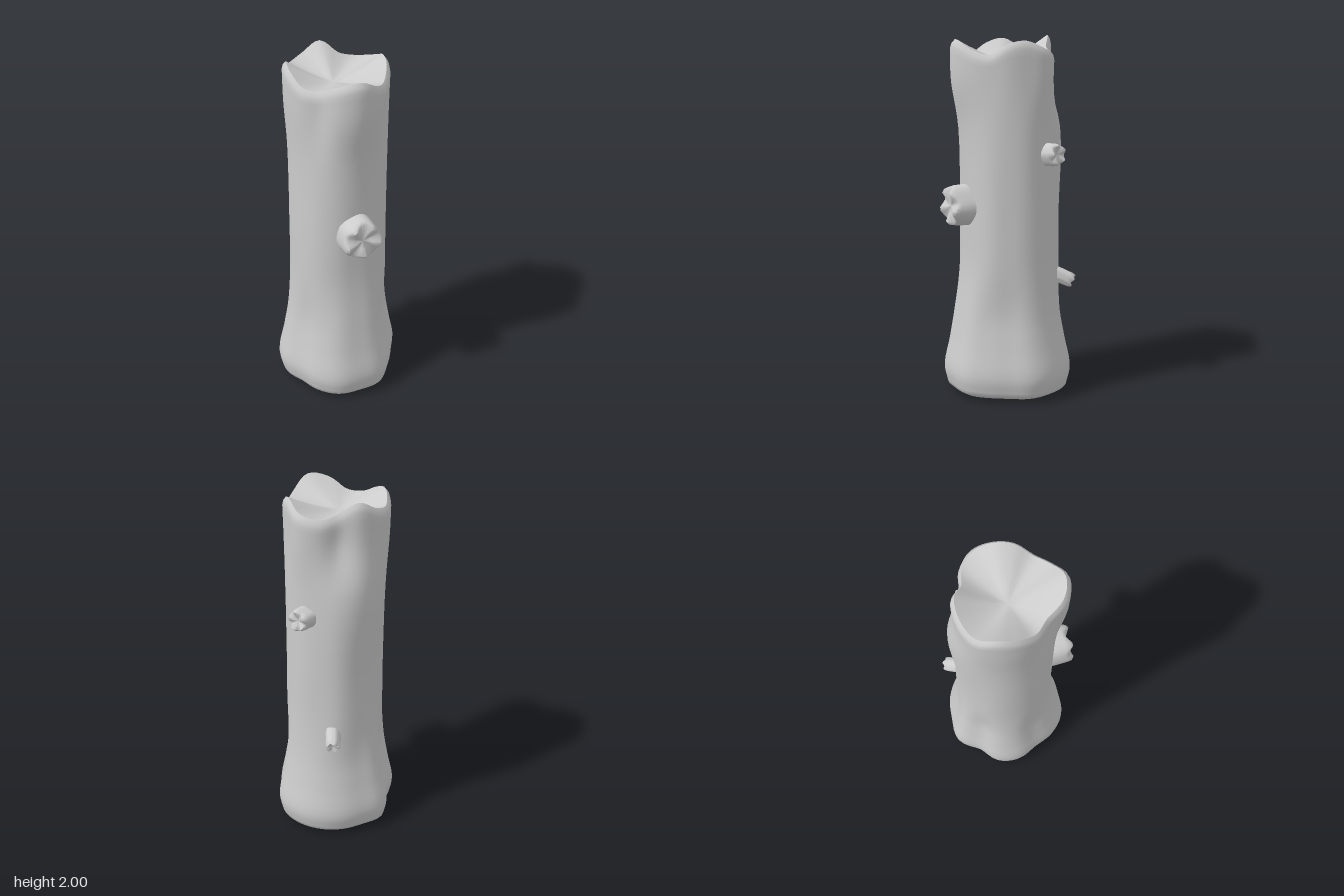
import * as THREE from 'three';
import { toCreasedNormals } from 'three/addons/utils/BufferGeometryUtils.js';

const TAU = Math.PI * 2;

// Closed smooth interpolation of values spaced evenly round a circle
function around(values, t) {
  const n = values.length, f = t * n, i = Math.floor(f), u = f - i;
  const [a, b, c, d] = [-1, 0, 1, 2].map(k => values[(i + k + n) % n]);
  return b + 0.5 * u * (c - a + u * (2 * a - 5 * b + 4 * c - d + u * (3 * (b - c) + d - a)));
}

// Skin over rings (bottom to top), closed by a centre point at each end
function loft(rings, bottom, top) {
  const n = rings[0].length, pos = [], idx = [];
  rings.forEach(r => r.forEach(p => pos.push(p.x, p.y, p.z)));
  const b = rings.length * n, last = b - n;
  pos.push(bottom.x, bottom.y, bottom.z, top.x, top.y, top.z);
  for (let i = 0; i < n; i++) {
    const j = (i + 1) % n;
    for (let k = 0; k < last; k += n) {
      idx.push(k + i, k + n + i, k + j, k + j, k + n + i, k + n + j);
    }
    idx.push(b, i, j, b + 1, last + j, last + i);
  }
  const geo = new THREE.BufferGeometry();
  geo.setAttribute('position', new THREE.Float32BufferAttribute(pos, 3));
  geo.setIndex(idx);
  return toCreasedNormals(geo, 1.0);
}

// Radii of the trunk every 22.5 degrees, from +x towards +z
const ROOT = [.357, .32, .325, .35, .342, .355, .34, .32, .35, .355, .325, .375, .357, .365, .37, .368];
const WAIST = [.278, .265, .27, .26, .25, .26, .265, .265, .27, .275, .275, .285, .285, .295, .285, .285];
const UPPER = [.275, .265, .265, .265, .27, .265, .255, .255, .265, .275, .285, .3, .31, .3, .285, .28];
const CROWN = [.275, .27, .27, .29, .317, .3, .25, .267, .28, .292, .3, .29, .275, .235, .275, .298];
// Heights of the broken rim at the same angles
const RIM = [1.975, 1.96, 1.905, 1.925, 1.98, 1.96, 1.91, 1.905, 1.955, 1.98, 1.93, 1.95, 2.0, 1.94, 1.915, 1.935];

function trunkGeometry() {
  const sides = 64, steps = 36, columns = [];
  const hollow = new THREE.Vector3(-0.03, 1.87, 0);
  for (let i = 0; i < sides; i++) {
    const t = i / sides, c = Math.cos(t * TAU), s = Math.sin(t * TAU);
    const at = (r, y) => new THREE.Vector3(r * c, y, r * s);
    const root = around(ROOT, t), waist = around(WAIST, t), crown = around(CROWN, t), rim = around(RIM, t);
    const side = new THREE.CatmullRomCurve3([
      at(root * 0.95, 0.035), at(root, 0.13), at(root * 0.91, 0.3), at(root * 0.83, 0.47),
      at(waist * 1.01, 0.72), at(waist, 1.0), at(around(UPPER, t), 1.5),
      at(crown * 0.99, 1.76), at(crown, rim - 0.045)]).getPoints(steps);
    // underside edge, then the lip and the dished top
    const lip = at(crown * 0.925, rim);
    const inner = [0.25, 0.5, 0.75].map(u => {
      const p = lip.clone().lerp(hollow, u);
      p.y = hollow.y + (rim - hollow.y) * (1 - u) ** 1.4;
      return p;
    });
    columns.push([at(root * 0.72, 0), at(root * 0.84, 0.012), ...side, at(crown * 0.98, rim - 0.02), lip, ...inner]);
  }
  const rings = columns[0].map((_, k) => columns.map(col => col[k]));
  return loft(rings, new THREE.Vector3(0, 0, 0), hollow);
}

// Short sawn-off branch with a wavy end, along +y
function stubGeometry(radius, length, phase) {
  const sides = 30, rings = [];
  const profile = [[1.02, 0, 0], [1, 0.4, 0], [0.97, 0.8, 0.3], [0.93, 0.94, 0.8], [0.8, 1, 1], [0.4, 0.95, 0.5]];
  for (const [r, y, wave] of profile) {
    rings.push(Array.from({ length: sides }, (_, i) => {
      const a = i / sides * TAU;
      const rr = radius * r * (1 + 0.04 * Math.sin(3 * a + phase) + 0.03 * Math.cos(5 * a));
      const lift = wave * radius * 0.14 * Math.sin(5 * a + phase);
      return new THREE.Vector3(rr * Math.cos(a), length * y + lift, rr * Math.sin(a));
    }));
  }
  return loft(rings, new THREE.Vector3(), new THREE.Vector3(0, length * 0.9, 0));
}

export function createModel() {
  const group = new THREE.Group();
  const material = new THREE.MeshStandardMaterial({ color: 0xcccccc });
  const add = (name, geometry) => {
    const mesh = new THREE.Mesh(geometry, material);
    mesh.name = name;
    group.add(mesh);
    return mesh;
  };
  add('trunk', trunkGeometry());

  // Branch stubs: name, radius, centre of the sawn end, direction
  const stubs = [
    ['frontBranchStub', 0.113, [0, 1.08, 0.35], [0, 0, 1]],
    ['leftBranchStub', 0.062, [0.315, 1.37, -0.163], [0.9, 0.05, -0.36]],
    ['backBranchStub', 0.043, [0.19, 0.627, -0.325], [0.5, -0.45, -0.9]],
  ];
  stubs.forEach(([name, radius, end, dir], i) => {
    const axis = new THREE.Vector3(...dir).normalize(), length = 0.16;
    const stub = add(name, stubGeometry(radius, length, i * 1.3));
    stub.quaternion.setFromUnitVectors(new THREE.Vector3(0, 1, 0), axis);
    stub.position.set(...end).addScaledVector(axis, -length);
  });
  return group;
}
